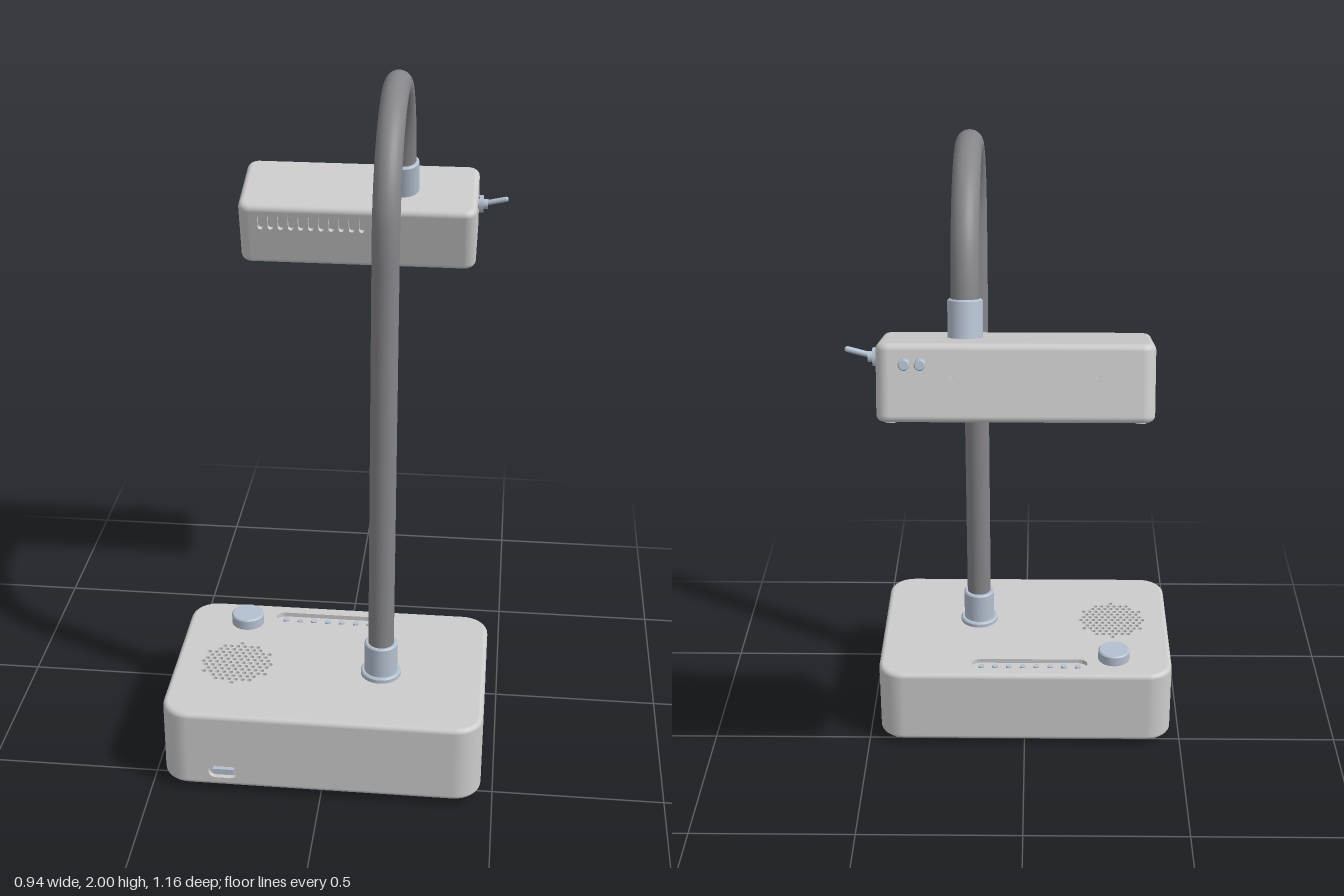
import * as THREE from 'three';

const grey = new THREE.MeshStandardMaterial({ color: 0xcccccc });
const metal = new THREE.MeshStandardMaterial({ color: 0xb4c0d0 });
const dark = new THREE.MeshStandardMaterial({ color: 0x85858a });
const CORNER = 8, EDGE = 5, WALL = 0.014;
const SIGNS = [[1, 1], [-1, 1], [-1, -1], [1, -1]];

function add(parent, name, geometry, material, x = 0, y = 0, z = 0) {
  const mesh = new THREE.Mesh(geometry, material);
  mesh.name = name;
  mesh.position.set(x, y, z);
  parent.add(mesh);
  return mesh;
}

// Outline of a rounded rectangle, counter-clockwise; each entry is [x, y, angle]
function outline(w, d, r, rad = r) {
  const pts = [];
  SIGNS.forEach(([sx, sy], k) => {
    for (let j = 0; j <= CORNER; j++) {
      const a = (k + j / CORNER) * Math.PI / 2;
      pts.push([sx * (w / 2 - r) + rad * Math.cos(a), sy * (d / 2 - r) + rad * Math.sin(a), a]);
    }
  });
  return pts;
}

// Round-ended slot (a circle when w equals h)
function slot(x, y, w, h = w) {
  const p = new THREE.Path(), r = Math.min(w, h) / 2, dx = w / 2 - r, dy = h / 2 - r;
  if (w >= h) {
    p.absarc(x + dx, y, r, -Math.PI / 2, Math.PI / 2, false);
    p.absarc(x - dx, y, r, Math.PI / 2, Math.PI * 1.5, false);
  } else {
    p.absarc(x, y + dy, r, 0, Math.PI, false);
    p.absarc(x, y - dy, r, Math.PI, Math.PI * 2, false);
  }
  p.closePath();
  return p;
}

// Rounded shell: curved edges as one loft, six flat plates that may carry holes
function shell(name, w, h, d, r, e, holes) {
  const group = new THREE.Group();
  group.name = name;
  const pos = [], nor = [], idx = [], n = 4 * (CORNER + 1);
  for (const side of [-1, 1]) {
    for (let s = 0; s <= EDGE; s++) {
      const t = (side < 0 ? s - EDGE : s) / EDGE * Math.PI / 2;
      const y = side * (h / 2 - e) + e * Math.sin(t);
      for (const [x, z, a] of outline(w, d, r, r - e + e * Math.cos(t))) {
        pos.push(x, y, z);
        nor.push(Math.cos(a) * Math.cos(t), Math.sin(t), Math.sin(a) * Math.cos(t));
      }
    }
  }
  for (let row = 0; row < 2 * EDGE + 1; row++) {
    for (let i = 0; i < n; i++) {
      if (row === EDGE && i % (CORNER + 1) === CORNER) continue; // flat sides are plates
      const a = row * n + i, b = row * n + (i + 1) % n;
      idx.push(a, a + n, b, b, a + n, b + n);
    }
  }
  const loft = new THREE.BufferGeometry();
  loft.setAttribute('position', new THREE.Float32BufferAttribute(pos, 3));
  loft.setAttribute('normal', new THREE.Float32BufferAttribute(nor, 3));
  loft.setIndex(idx);
  add(group, name + 'Edges', loft, grey);

  const rect = (a, b) => [[a, b], [-a, b], [-a, -b], [a, -b]];
  const cap = outline(w - 2 * e, d - 2 * e, r - e);
  const front = rect(w / 2 - r, h / 2 - e), flank = rect(d / 2 - r, h / 2 - e), q = Math.PI / 2;
  const faces = {
    top: [cap, -q, 0, h / 2], bottom: [cap, q, 0, h / 2],
    front: [front, 0, 0, d / 2], back: [front, 0, 2 * q, d / 2],
    left: [flank, 0, q, w / 2], right: [flank, 0, -q, w / 2],
  };
  for (const [key, [pts, rx, ry, dist]] of Object.entries(faces)) {
    const shape = new THREE.Shape(pts.map(([x, y]) => new THREE.Vector2(x, y)));
    const place = (g, z) => g.translate(0, 0, z).rotateX(rx).rotateY(ry);
    const floor = new THREE.ShapeGeometry(shape);
    if (!holes[key]) {
      add(group, name + ' ' + key, place(floor, dist), grey);
      continue;
    }
    add(group, name + ' ' + key + ' backing', place(floor, dist - WALL), grey);
    shape.holes = holes[key];
    const plate = new THREE.ExtrudeGeometry(shape, { depth: WALL, bevelEnabled: false, curveSegments: 4 });
    add(group, name + ' ' + key, place(plate, dist - WALL), grey);
  }
  return group;
}

const cyl = (r, h, seg = 32, r2 = r) => new THREE.CylinderGeometry(r2, r, h, seg);

// Cylinder with a softened top rim, standing on y = 0
function knobShape(r, h, b) {
  const p = [[0, h], [r - b, h], [r - b, h], [r, h - b], [r, h - b], [r, 0]].reverse();
  return new THREE.LatheGeometry(p.map(([x, y]) => new THREE.Vector2(x, y)), 40);
}

function makeBase() {
  const grille = [];
  for (let row = -6; row <= 6; row++) {
    for (let c = -6; c <= 6; c++) {
      const x = (c + (row % 2 ? 0.5 : 0)) * 0.0205, y = row * 0.0176;
      if (Math.hypot(x, y) < 0.1075) grille.push(slot(x - 0.283, y - 0.03, 0.0145));
    }
  }
  const screws = SIGNS.flatMap(([x, z]) => [slot(x * 0.31, z * 0.25, 0.014), slot(x * 0.41, z * 0.19, 0.014)]);
  const base = shell('base', 0.935, 0.245, 0.62, 0.08, 0.015, {
    top: [slot(-0.013, 0.24, 0.37, 0.052), ...grille],
    front: [slot(-0.283, -0.0725, 0.088, 0.042)],
    bottom: screws,
  });
  base.position.set(-0.0025, 0.1425, 0.27);
  add(base, 'portTongue', new THREE.BoxGeometry(0.062, 0.016, 0.016), metal, -0.283, -0.0725, 0.301);
  for (let i = 0; i < 8; i++) {
    add(base, 'indicatorLight', cyl(0.009, 0.008, 16), metal, -0.167 + i * 0.044, 0.111, -0.24);
  }
  add(base, 'knob', knobShape(0.05, 0.034, 0.004), metal, -0.283, 0.122, -0.203);
  for (const [x, z] of SIGNS) add(base, 'foot', cyl(0.018, 0.022, 24, 0.023), grey, x * 0.41, -0.1315, z * 0.252);
  return base;
}

function makeHead() {
  const vents = [], lowerVents = [];
  for (let i = 0; i < 11; i++) vents.push(slot(-0.293 + i * 0.031, 0.05, 0.017, 0.053));
  for (let i = 0; i < 6; i++) lowerVents.push(slot(-0.05 - i * 0.05, 0.015, 0.016, 0.12));
  const head = shell('head', 0.725, 0.207, 0.274, 0.035, 0.018, {
    front: vents,
    bottom: [...lowerVents, slot(0.165, 0.035, 0.14, 0.012), slot(0.095, 0.035, 0.024)],
    back: [slot(0.212, 0.02, 0.011), slot(-0.165, 0.02, 0.011)],
  });
  head.position.set(0.0175, 1.455, -0.427);
  head.rotation.x = Math.PI / 12;

  // Neck socket on top
  add(head, 'neckSocket', knobShape(0.047, 0.105, 0.004), metal, 0.1355, 0.1, 0.01);

  // Lens and screws underneath
  const ring = add(head, 'lensRing', new THREE.TorusGeometry(0.045, 0.008, 10, 40), metal, 0.285, -0.104, -0.01);
  ring.rotation.x = Math.PI / 2;
  add(head, 'lens', cyl(0.044, 0.01), metal, 0.285, -0.104, -0.01);
  const screws = SIGNS.map(([x, z]) => [x * 0.325, z * 0.1]);
  for (const [x, z] of [...screws, [0.1, 0.1]]) add(head, 'screw', cyl(0.015, 0.006, 20), metal, x, -0.104, z);

  // Push buttons on the back
  for (const x of [0.245, 0.286]) {
    const button = add(head, 'button', knobShape(0.015, 0.026, 0.003), metal, x, 0.051, -0.137);
    button.rotation.x = -Math.PI / 2;
  }

  // Toggle switch on the side
  const toggle = new THREE.Group();
  toggle.name = 'toggleSwitch';
  toggle.position.set(0.3625, 0.052, 0);
  toggle.rotation.z = -Math.PI / 2;
  add(toggle, 'switchNut', cyl(0.027, 0.014, 6), metal, 0, 0.01, 0);
  add(toggle, 'switchBushing', cyl(0.015, 0.03, 20), metal, 0, 0.015, 0);
  const lever = add(toggle, 'switchLever', new THREE.CapsuleGeometry(0.008, 0.06, 6, 14), metal, -0.012, 0.055, 0);
  lever.rotation.z = 0.25;
  head.add(toggle);
  return head;
}

function makeNeck() {
  const neck = new THREE.Group();
  neck.name = 'neck';
  const X = 0.153, R = 0.336, zc = -0.026, yc = 1.626;
  const pts = [0.27, 0.7, 1.15, 1.5].map(y => new THREE.Vector3(X, y, 0.31));
  for (let deg = 0; deg <= 165; deg += 15) {
    const a = deg * Math.PI / 180;
    pts.push(new THREE.Vector3(X, yc + R * Math.sin(a), zc + R * Math.cos(a)));
  }
  pts.push(new THREE.Vector3(X, 1.62, -0.373));
  add(neck, 'gooseneck', new THREE.TubeGeometry(new THREE.CatmullRomCurve3(pts), 140, 0.038, 24), dark);
  add(neck, 'neckFlange', knobShape(0.06, 0.016, 0.004), metal, X, 0.264, 0.307);
  add(neck, 'neckCollar', knobShape(0.049, 0.11, 0.004), metal, X, 0.266, 0.308);
  return neck;
}

export function createModel() {
  const model = new THREE.Group();
  model.name = 'goosenecklamp';
  model.add(makeBase(), makeNeck(), makeHead());
  return model;
}
